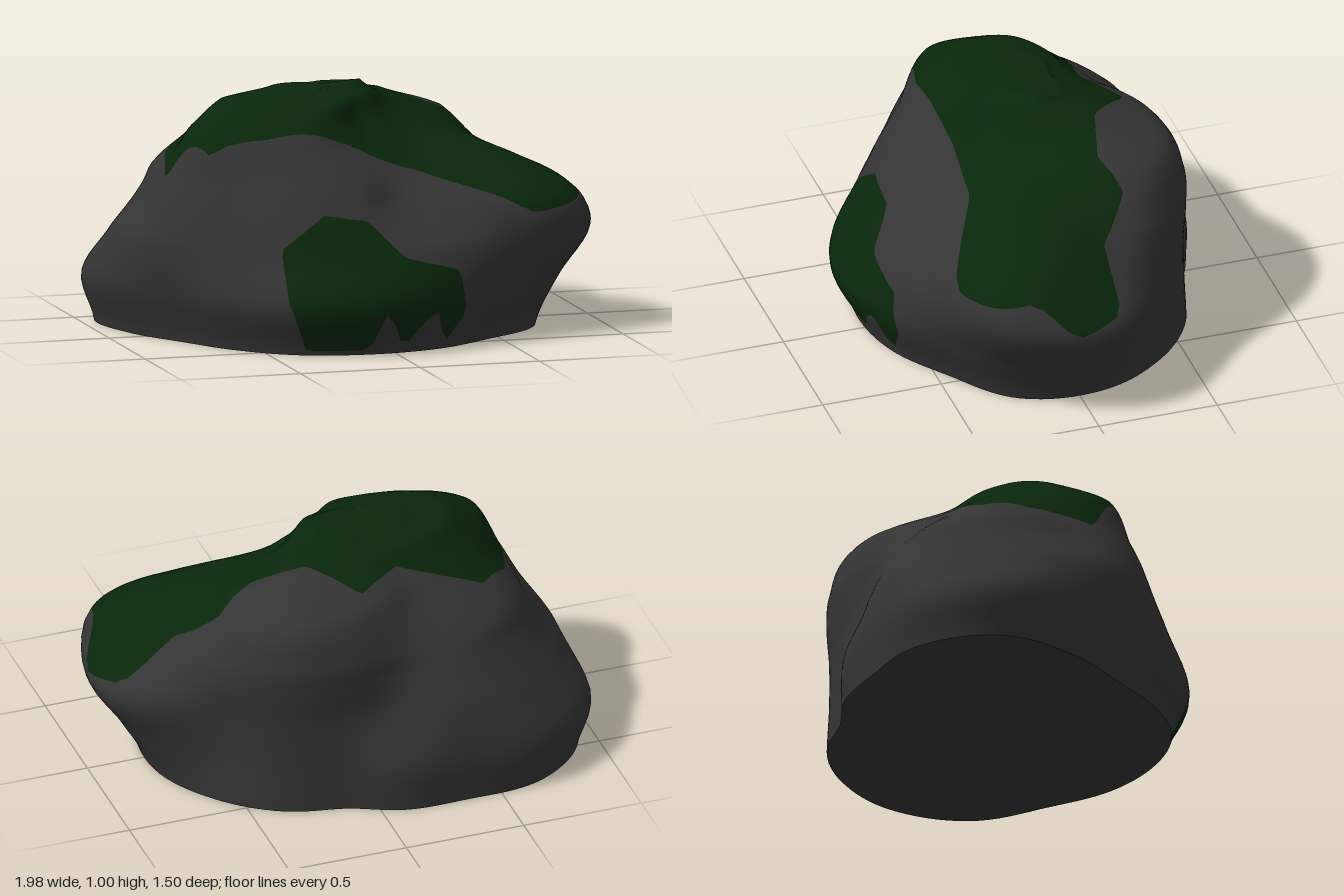
import * as THREE from 'three';

// Boulder contours: [height, 16 radii], angles run from +x towards +z
const rings = [
  [0.0, .85, .87, .78, .77, .76, .75, .71, .70, .79, .90, .84, .69, .63, .585, .67, .76],
  [0.2, .95, .96, .86, .83, .845, .82, .78, .77, .86, .95, .87, .70, .63, .58, .66, .76],
  [0.4, 1.05, 1.08, .89, .76, .73, .73, .74, .80, .83, .82, .76, .655, .55, .565, .66, .77],
  [0.55, .89, 1.05, .80, .58, .62, .66, .68, .76, .72, .71, .65, .57, .51, .57, .67, .77],
  [0.67, .73, .84, .53, .46, .52, .58, .62, .70, .65, .64, .56, .48, .48, .56, .66, .73],
  [0.83, .51, .36, .31, .28, .34, .44, .54, .63, .53, .44, .34, .31, .37, .47, .58, .61],
  [0.93, .26, .23, .22, .22, .27, .30, .36, .44, .41, .30, .21, .17, .17, .20, .26, .31],
  [0.972, .16, .17, .15, .14, .14, .14, .16, .20, .20, .15, .09, .06, .06, .08, .10, .13],
];
const CENTRE = -0.1, AROUND = 128, STEPS = 6;

// Moss outlines: crown in (x, z), front patch in (x, y)
const crown = [[-.78, .04], [-.7, -.22], [-.56, -.35], [-.38, -.34], [-.2, -.31], [-.01, -.44], [.16, -.26],
  [.38, -.2], [.53, -.26], [.67, -.13], [.89, -.13], [1.1, -.13], [1.1, .35], [.75, .48], [.57, .46],
  [.4, .38], [.2, .28], [-.03, .27], [-.2, .29], [-.43, .3], [-.65, .24]];
const front = [[-.44, .42], [-.26, .55], [-.08, .52], [.05, .38], [.28, .32], [.31, .15], [.22, .02],
  [.17, .18], [.12, .13], [.03, .02], [-.05, .2], [-.11, .02], [-.36, .02], [-.44, .22]];

// Signed distance to a polygon, positive inside
function inside(poly, x, y) {
  let best = Infinity, isIn = false;
  poly.forEach(([ax, ay], i) => {
    const [bx, by] = poly[(i + 1) % poly.length];
    const ex = bx - ax, ey = by - ay;
    const t = THREE.MathUtils.clamp(((x - ax) * ex + (y - ay) * ey) / (ex * ex + ey * ey), 0, 1);
    best = Math.min(best, Math.hypot(x - ax - ex * t, y - ay - ey * t));
    if ((ay > y) !== (by > y) && x < ax + ex * (y - ay) / ey) isIn = !isIn;
  });
  return isIn ? best : -best;
}

// Positive where moss grows; the crown stops at a rim on the side lobe
function mossAmount(p) {
  const rim = Math.min(.61 - .22 * p.z, .41 + Math.max(p.z - .08, .2 * (.08 - p.z)));
  const top = Math.min(inside(crown, p.x, p.z), p.y - rim);
  const face = Math.min(inside(front, p.x, p.y), p.z - .3);
  return Math.max(top, face);
}

function spline(a, b, c, d, t) {
  return b + .5 * t * (c - a + t * (2 * a - 5 * b + 4 * c - d + t * (3 * (b - c) + d - a)));
}

// Smooth skin lofted through the rings and closed at the crown
function skinGeometry() {
  const pos = [], index = [];
  const radius = (ring, u) => {
    const i = Math.floor(u), r = k => ring[1 + (i + k + 16) % 16];
    return spline(r(-1), r(0), r(1), r(2), u - i);
  };
  const rows = (rings.length - 1) * STEPS + 1;
  const add = (x, y, z) =>
    pos.push(x, y + .028 * Math.exp(-((x - .07) ** 2 + z * z) / .012), z);
  for (let j = 0; j < rows; j++) {
    const k = Math.min(Math.floor(j / STEPS), rings.length - 2), t = j / STEPS - k;
    const [a, b, c, d] = [-1, 0, 1, 2].map(o => rings[THREE.MathUtils.clamp(k + o, 0, rings.length - 1)]);
    const y = THREE.MathUtils.lerp(b[0], c[0], t);
    for (let i = 0; i < AROUND; i++) {
      const u = i / AROUND * 16, angle = i / AROUND * Math.PI * 2;
      const r = spline(radius(a, u), radius(b, u), radius(c, u), radius(d, u), t);
      add(CENTRE + r * Math.cos(angle), y, CENTRE + r * Math.sin(angle));
    }
  }
  add(CENTRE, .972, CENTRE);
  for (let j = 0; j < rows; j++) {
    for (let i = 0; i < AROUND; i++) {
      const n = (i + 1) % AROUND, a = j * AROUND + i, b = j * AROUND + n;
      if (j === rows - 1) index.push(a, rows * AROUND, b);
      else index.push(a, a + AROUND, b, b, a + AROUND, b + AROUND);
    }
  }
  const geometry = new THREE.BufferGeometry();
  geometry.setAttribute('position', new THREE.Float32BufferAttribute(pos, 3));
  geometry.setIndex(index);
  geometry.computeVertexNormals();
  return geometry;
}

// Part of the skin where sign * moss amount is positive, cut along the outline
function cutSkin(skin, amounts, sign) {
  const pos = [], nor = [], { position, normal } = skin.attributes;
  const vertex = i => ({
    p: new THREE.Vector3().fromBufferAttribute(position, i),
    n: new THREE.Vector3().fromBufferAttribute(normal, i),
    d: amounts[i] * sign,
  });
  for (let f = 0; f < skin.index.count; f += 3) {
    const tri = [0, 1, 2].map(k => vertex(skin.index.getX(f + k)));
    const kept = [];
    tri.forEach((a, k) => {
      const b = tri[(k + 1) % 3];
      if (a.d >= 0) kept.push(a);
      if ((a.d >= 0) !== (b.d >= 0)) {
        const t = a.d / (a.d - b.d);
        kept.push({ p: a.p.clone().lerp(b.p, t), n: a.n.clone().lerp(b.n, t).normalize() });
      }
    });
    for (let k = 1; k + 1 < kept.length; k++) {
      for (const v of [kept[0], kept[k], kept[k + 1]]) {
        pos.push(...v.p.toArray());
        nor.push(...v.n.toArray());
      }
    }
  }
  const geometry = new THREE.BufferGeometry();
  geometry.setAttribute('position', new THREE.Float32BufferAttribute(pos, 3));
  geometry.setAttribute('normal', new THREE.Float32BufferAttribute(nor, 3));
  return geometry;
}

export function createModel() {
  const group = new THREE.Group();
  group.name = 'mossyBoulder';
  const stone = new THREE.MeshStandardMaterial({ color: 0x343434 });
  const moss = new THREE.MeshStandardMaterial({ color: 0x08270a });
  const addPart = (name, geometry, material) => {
    const mesh = new THREE.Mesh(geometry, material);
    mesh.name = name;
    group.add(mesh);
  };

  const skin = skinGeometry(), { position } = skin.attributes, p = new THREE.Vector3();
  const amounts = Array.from({ length: position.count }, (_, i) => mossAmount(p.fromBufferAttribute(position, i)));
  addPart('rock', cutSkin(skin, amounts, -1), stone);
  addPart('moss', cutSkin(skin, amounts, 1), moss);

  // Flat underside
  const outline = Array.from({ length: AROUND }, (_, i) => new THREE.Vector2(position.getX(i), position.getZ(i)));
  const base = new THREE.ShapeGeometry(new THREE.Shape(outline)).rotateX(Math.PI / 2);
  addPart('underside', base, stone);
  return group;
}
